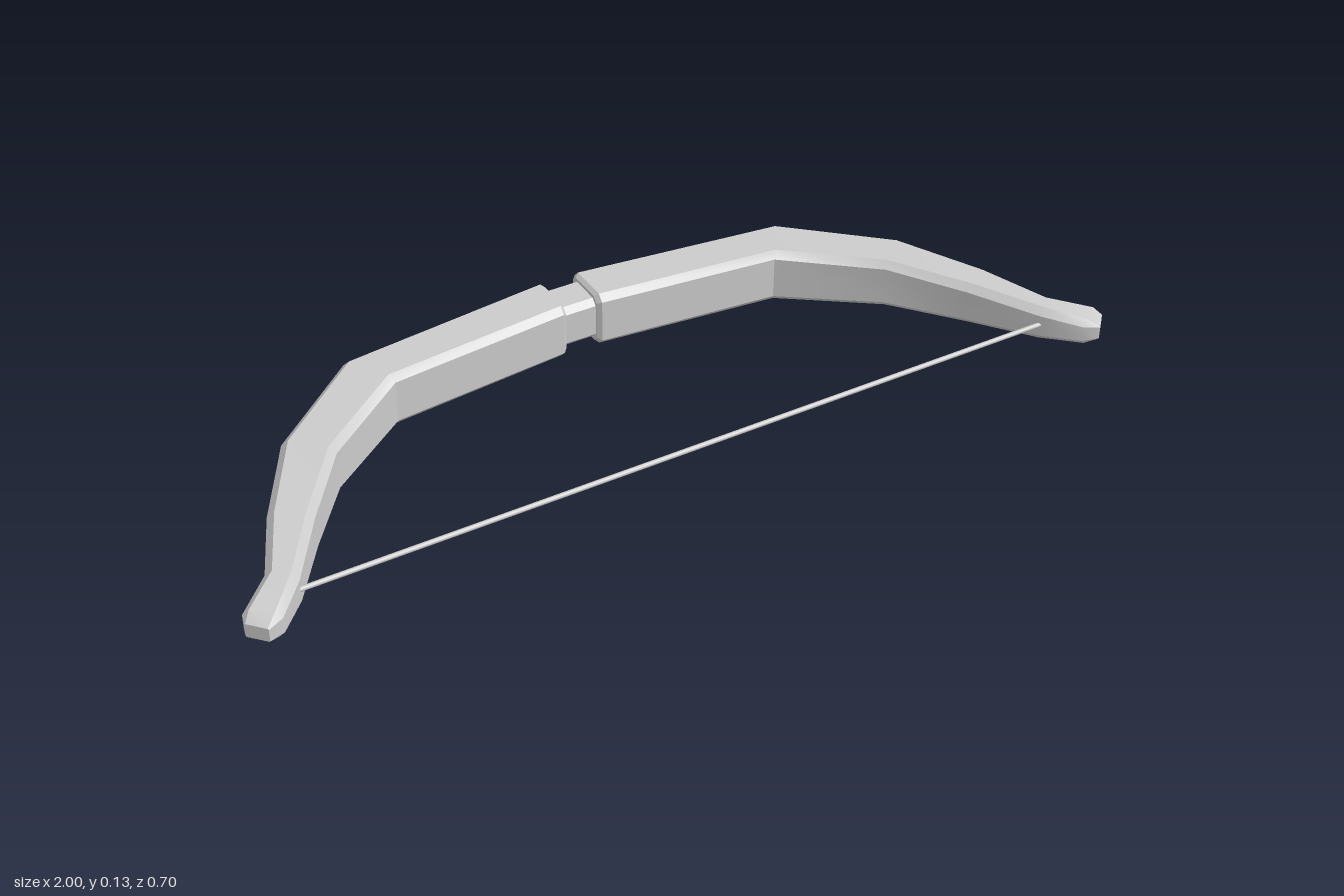
import * as THREE from 'three';
import { toCreasedNormals } from 'three/addons/utils/BufferGeometryUtils.js';

const MID_Y = 0.068;

// Chamfered rectangle standing between an outer and an inner (x, z) point
function section([ox, oz, ix, iz, half, cut]) {
  const mx = (ox + ix) / 2, mz = (oz + iz) / 2;
  const w = Math.hypot(ox - ix, oz - iz) / 2;
  const dx = (ox - ix) / (2 * w), dz = (oz - iz) / (2 * w);
  const outline = [
    [w, -half + cut], [w, half - cut], [w - cut, half], [-w + cut, half],
    [-w, half - cut], [-w, -half + cut], [-w + cut, -half], [w - cut, -half],
  ];
  return outline.map(([u, v]) => [mx + dx * u, MID_Y + v, mz + dz * u]);
}

// Skin a row of sections and close both ends; side = -1 mirrors across x
function loft(rows, side = 1) {
  const rings = rows.map(section), n = 8, last = rings.length - 1;
  const positions = [], index = [];
  rings.forEach((ring) => ring.forEach(([x, y, z]) => positions.push(side * x, y, z)));
  const tri = (a, b, c) => (side > 0 ? index.push(a, b, c) : index.push(a, c, b));
  for (let i = 0; i < last; i++) {
    for (let j = 0; j < n; j++) {
      const k = (j + 1) % n;
      const a = i * n + j, b = i * n + k, c = b + n, d = a + n;
      tri(a, b, c);
      tri(a, c, d);
    }
  }
  for (let j = 1; j < n - 1; j++) {
    tri(0, j + 1, j);
    tri(last * n, last * n + j, last * n + j + 1);
  }
  const geometry = new THREE.BufferGeometry();
  geometry.setAttribute('position', new THREE.Float32BufferAttribute(positions, 3));
  geometry.setIndex(index);
  return toCreasedNormals(geometry, 0.5);
}

export function createModel() {
  const group = new THREE.Group();
  const material = new THREE.MeshStandardMaterial({ color: 0xcccccc });
  const add = (name, geometry) => {
    const mesh = new THREE.Mesh(geometry, material);
    mesh.name = name;
    group.add(mesh);
    return mesh;
  };

  // Limbs: outer x, outer z, inner x, inner z, half height, chamfer
  const limb = [
    [0.038, -0.340, 0.038, -0.232, 0.058, 0.013],
    [0.047, -0.348, 0.047, -0.223, 0.0655, 0.015],
    [0.535, -0.291, 0.465, -0.182, 0.0655, 0.016],
    [0.750, -0.110, 0.663, -0.032, 0.0600, 0.016],
    [0.857, 0.075, 0.775, 0.120, 0.0515, 0.016],
    [0.920, 0.217, 0.868, 0.262, 0.0415, 0.016],
    [0.995, 0.290, 0.932, 0.335, 0.0320, 0.014],
    [1.000, 0.312, 0.966, 0.348, 0.0160, 0.002],
  ];
  add('leftLimb', loft(limb, 1));
  add('rightLimb', loft(limb, -1));

  // Narrow grip joining the limbs
  add('grip', loft([-0.045, 0.045].map((x) => [x, -0.335, x, -0.236, 0.051, 0.014])));

  // Straight bowstring
  const string = add('bowstring', new THREE.CylinderGeometry(0.0055, 0.0055, 1.75, 8));
  string.rotation.z = Math.PI / 2;
  string.position.set(0, 0.07, 0.26);

  return group;
}
